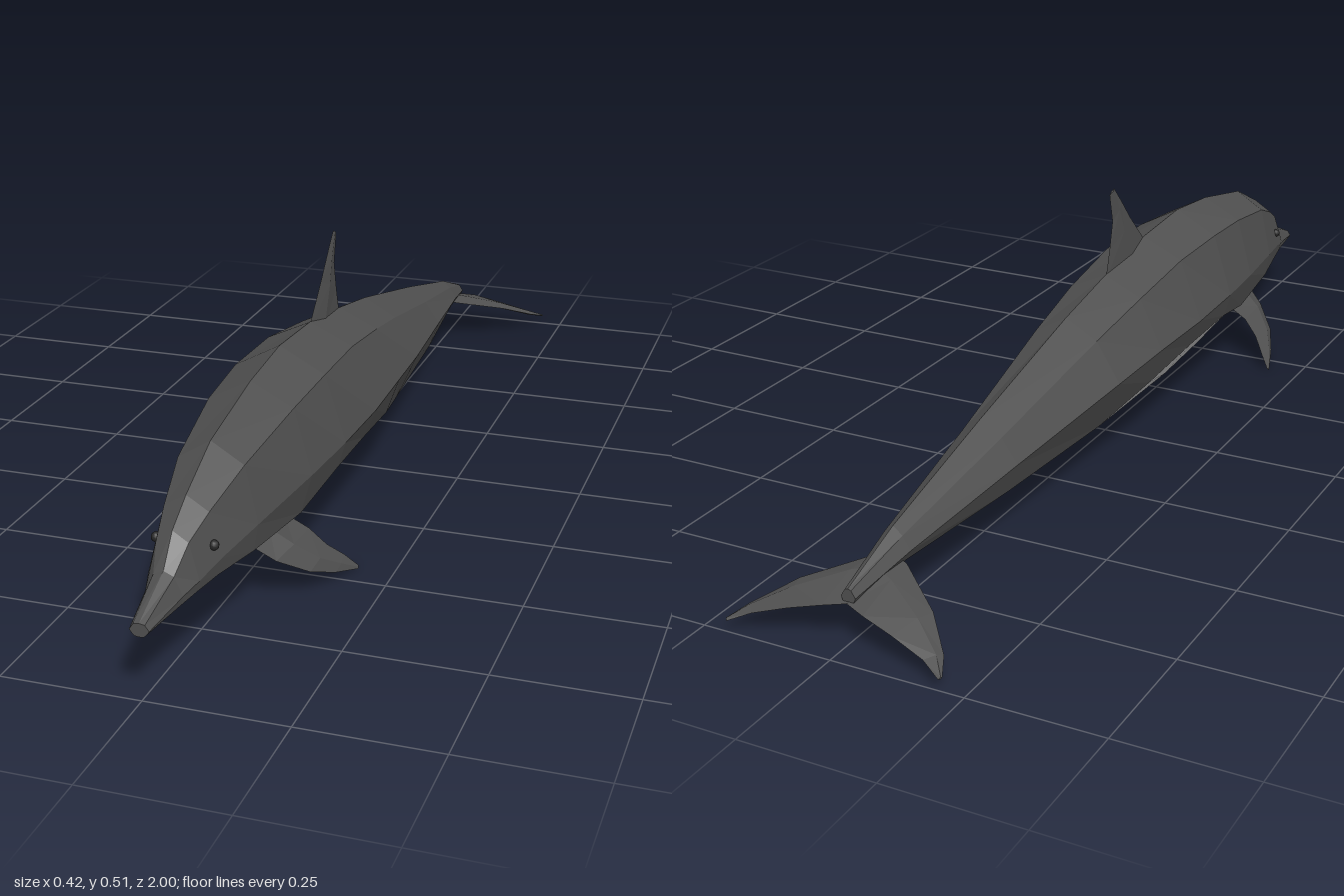
import * as THREE from 'three';

const paint = (name, color) => {
  const m = new THREE.MeshStandardMaterial({ color });
  m.name = name;
  return m;
};

// Facetted skin over a list of closed rings; pick(i, j) chooses the material index of each quad
function loft(name, rings, materials, pick = () => 0, mirror = false) {
  const buckets = materials.map(() => []);
  const tri = (k, a, b, c) => {
    for (const p of mirror ? [a, c, b] : [a, b, c]) buckets[k].push(mirror ? -p[0] : p[0], p[1], p[2]);
  };
  const n = rings[0].length, last = rings[rings.length - 1];
  for (let i = 0; i < rings.length - 1; i++) {
    for (let j = 0; j < n; j++) {
      const a = rings[i][j], b = rings[i][(j + 1) % n];
      const c = rings[i + 1][(j + 1) % n], d = rings[i + 1][j];
      const k = pick(i, j);
      tri(k, a, b, c);
      tri(k, a, c, d);
    }
  }
  for (let j = 1; j < n - 1; j++) {
    tri(0, rings[0][0], rings[0][j + 1], rings[0][j]);
    tri(0, last[0], last[j], last[j + 1]);
  }
  const geometry = new THREE.BufferGeometry();
  let start = 0;
  buckets.forEach((b, k) => {
    geometry.addGroup(start, b.length / 3, k);
    start += b.length / 3;
  });
  geometry.setAttribute('position', new THREE.Float32BufferAttribute(buckets.flat(), 3));
  geometry.computeVertexNormals();
  const mesh = new THREE.Mesh(geometry, materials);
  mesh.name = name;
  return mesh;
}

// Diamond-shaped fin sections from [leading point, trailing point, half thickness]
const finRings = (sections, normal) => sections.map(([lead, trail, t]) => {
  const mid = (s) => lead.map((v, i) => v * 0.6 + trail[i] * 0.4 + s * t * normal[i]);
  return [lead, mid(1), trail, mid(-1)];
});

export function createModel() {
  const model = new THREE.Group();
  model.name = 'dolphin';
  const dark = paint('dark grey skin', 0x505050);
  const mid = paint('grey belly', 0x8c8c8c);
  const light = paint('pale flank', 0xc2c2c2);
  const black = paint('eye black', 0x2a2a2a);

  // Body: z, back y, then x, y of shoulder, flank, lower flank and belly edge, then belly y
  const stations = [
    [1.0, 0.137, 0.010, 0.135, 0.017, 0.125, 0.014, 0.12, 0.008, 0.114, 0.113],
    [0.9, 0.18, 0.018, 0.172, 0.033, 0.14, 0.03, 0.125, 0.018, 0.118, 0.115],
    [0.86, 0.233, 0.028, 0.215, 0.045, 0.15, 0.04, 0.13, 0.022, 0.118, 0.115],
    [0.8, 0.27, 0.04, 0.245, 0.06, 0.165, 0.054, 0.135, 0.03, 0.116, 0.112],
    [0.69, 0.322, 0.06, 0.285, 0.083, 0.18, 0.074, 0.13, 0.038, 0.108, 0.1],
    [0.5, 0.36, 0.08, 0.318, 0.113, 0.195, 0.092, 0.12, 0.045, 0.09, 0.078],
    [0.35, 0.375, 0.087, 0.328, 0.127, 0.2, 0.112, 0.15, 0.05, 0.075, 0.062],
    [0.18, 0.365, 0.085, 0.325, 0.132, 0.2, 0.108, 0.142, 0.052, 0.068, 0.053],
    [0.0, 0.337, 0.078, 0.3, 0.126, 0.198, 0.1, 0.125, 0.05, 0.068, 0.055],
    [-0.17, 0.305, 0.066, 0.268, 0.115, 0.188, 0.07, 0.09, 0.045, 0.07, 0.058],
    [-0.5, 0.227, 0.04, 0.195, 0.072, 0.148, 0.05, 0.09, 0.028, 0.078, 0.07],
    [-0.8, 0.15, 0.018, 0.135, 0.033, 0.11, 0.022, 0.09, 0.012, 0.082, 0.078],
    [-0.94, 0.1, 0.006, 0.098, 0.014, 0.085, 0.01, 0.075, 0.006, 0.072, 0.07],
  ];
  const bodyRings = stations.map(([z, top, ...s]) => {
    const side = [0, 2, 4, 6].map((i) => [s[i], s[i + 1], z]);
    const other = side.map(([x, y]) => [-x, y, z]).reverse();
    return [[0, top, z], ...side, [0, s[8], z], ...other];
  });
  model.add(loft('body', bodyRings, [dark, mid, light], (i, j) => {
    if ((j === 3 || j === 6) && i >= 5 && i <= 8) return 2;
    if ((j === 4 || j === 5) && i >= 4 && i <= 10) return i >= 5 && i <= 8 ? 2 : 1;
    return 0;
  }));

  // Dorsal fin
  model.add(loft('dorsalFin', finRings([
    [[0, 0.34, 0.2], [0, 0.32, 0], 0.009],
    [[0, 0.425, 0.115], [0, 0.385, 0.02], 0.006],
    [[0, 0.47, 0.075], [0, 0.44, 0.033], 0.004],
    [[0, 0.507, 0.04], [0, 0.498, 0.02], 0.002],
  ], [1, 0, 0]), [dark]));

  const flipper = finRings([
    [[0.05, 0.115, 0.645], [0.06, 0.115, 0.5], 0.014],
    [[0.09, 0.082, 0.625], [0.105, 0.09, 0.495], 0.012],
    [[0.135, 0.045, 0.575], [0.135, 0.058, 0.485], 0.009],
    [[0.162, 0.02, 0.515], [0.16, 0.03, 0.46], 0.006],
    [[0.183, 0, 0.45], [0.181, 0.004, 0.443], 0.001],
  ], [-0.7, -0.7, 0]);
  const fluke = finRings([
    [[0, 0.1, -0.8], [0, 0.075, -0.945], 0.012],
    [[0.035, 0.093, -0.815], [0.04, 0.07, -0.96], 0.01],
    [[0.13, 0.065, -0.89], [0.1, 0.055, -0.97], 0.007],
    [[0.188, 0.035, -0.955], [0.165, 0.035, -0.982], 0.005],
    [[0.208, 0.022, -0.995], [0.203, 0.02, -1], 0.002],
  ], [-0.3, -0.95, 0]);

  // Paired parts
  for (const [label, mirror] of [['left', false], ['right', true]]) {
    model.add(loft(label + 'Flipper', flipper, [dark, light], (i, j) => (j < 2 ? 1 : 0), mirror));
    model.add(loft(label + 'TailFluke', fluke, [dark], undefined, mirror));
    const eye = new THREE.Mesh(new THREE.SphereGeometry(0.009, 10, 8), black);
    eye.name = label + 'Eye';
    eye.position.set(mirror ? -0.051 : 0.051, 0.192, 0.81);
    model.add(eye);
  }
  return model;
}
